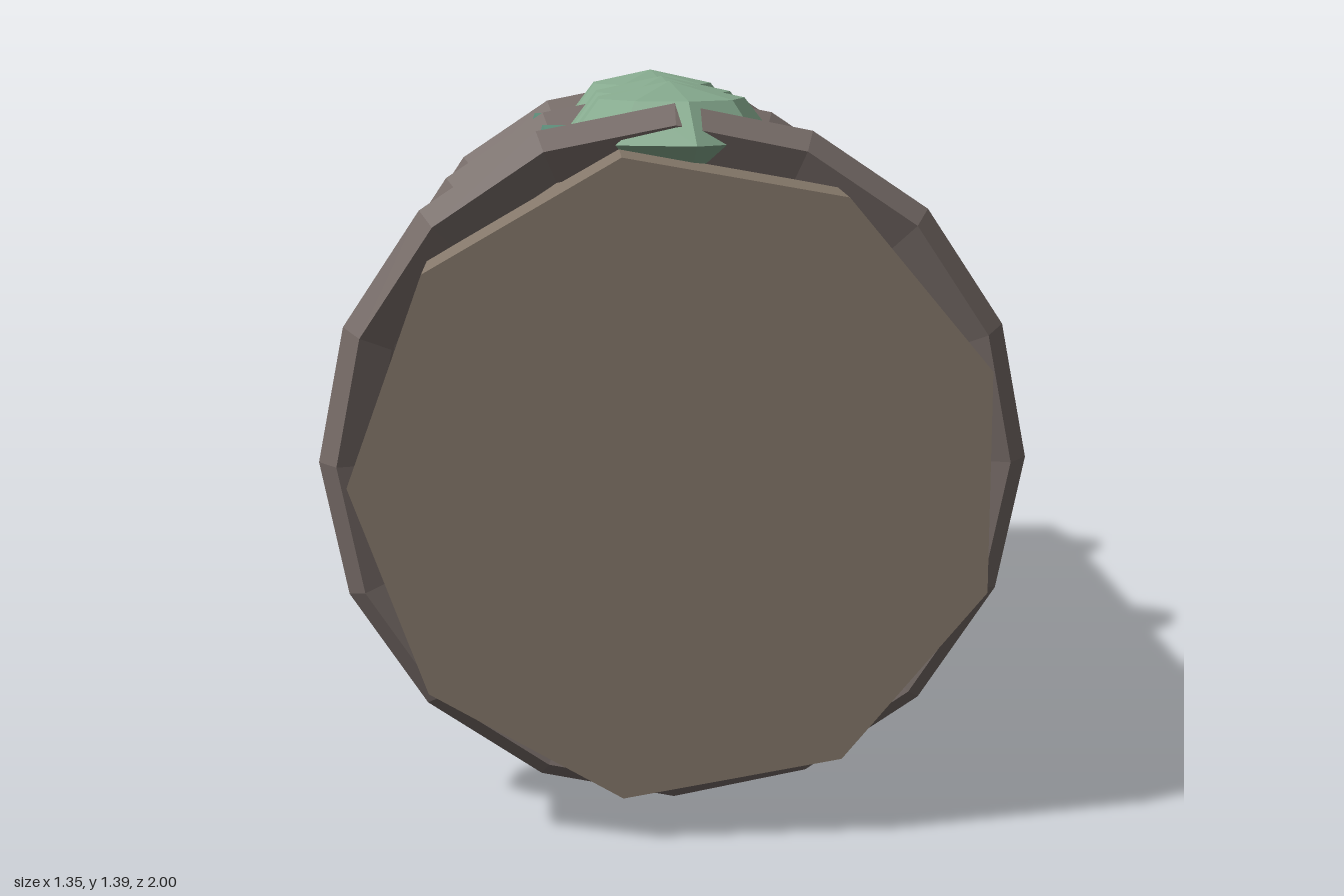
import * as THREE from 'three';

const mat = (color) => new THREE.MeshStandardMaterial({ color, flatShading: true });
const AXIS_Y = 0.678; // height of the log's axis

export function createModel() {
  const model = new THREE.Group();
  const bark = mat(0x85786a), band = mat(0x756a66), moss = mat(0x86aa8e), stem = mat(0x5f8f7c);

  const add = (name, geometry, material, x, y, z) => {
    const mesh = new THREE.Mesh(geometry, material);
    mesh.name = name;
    mesh.position.set(x, y, z);
    model.add(mesh);
    return mesh;
  };

  // Nine-sided log, slightly thicker at the back, lying along z
  const log = new THREE.CylinderGeometry(0.6, 0.64, 2, 9, 1, false, Math.PI * 1.5);
  log.rotateX(Math.PI / 2);
  add('log', log, bark, 0, AXIS_Y, 0);

  // Raised bands around the log
  [0.763, -0.08, -0.842].forEach((z, i) => {
    add('band' + (i + 1), new THREE.TorusGeometry(0.621, 0.056, 5, 16), band, 0, AXIS_Y, z);
  });

  // Flattened moss clumps along the top
  [0.53, 0.135, -0.535].forEach((z, i) => {
    const clump = new THREE.SphereGeometry(1, 9, 4, Math.PI);
    clump.scale(0.21, 0.11, 0.34);
    add('mossClump' + (i + 1), clump, moss, 0, 1.28, z);
  });

  // Two stems beside the moss, spreading apart towards the back
  for (const side of [1, -1]) {
    const geometry = new THREE.CylinderGeometry(0.052, 0.052, 1.25, 5);
    geometry.rotateX(Math.PI / 2);
    const mesh = add(side > 0 ? 'leftStem' : 'rightStem', geometry, stem, side * 0.225, 1.235, 0.025);
    mesh.rotation.set(0.007, -side * 0.05, 0);
  }

  return model;
}
